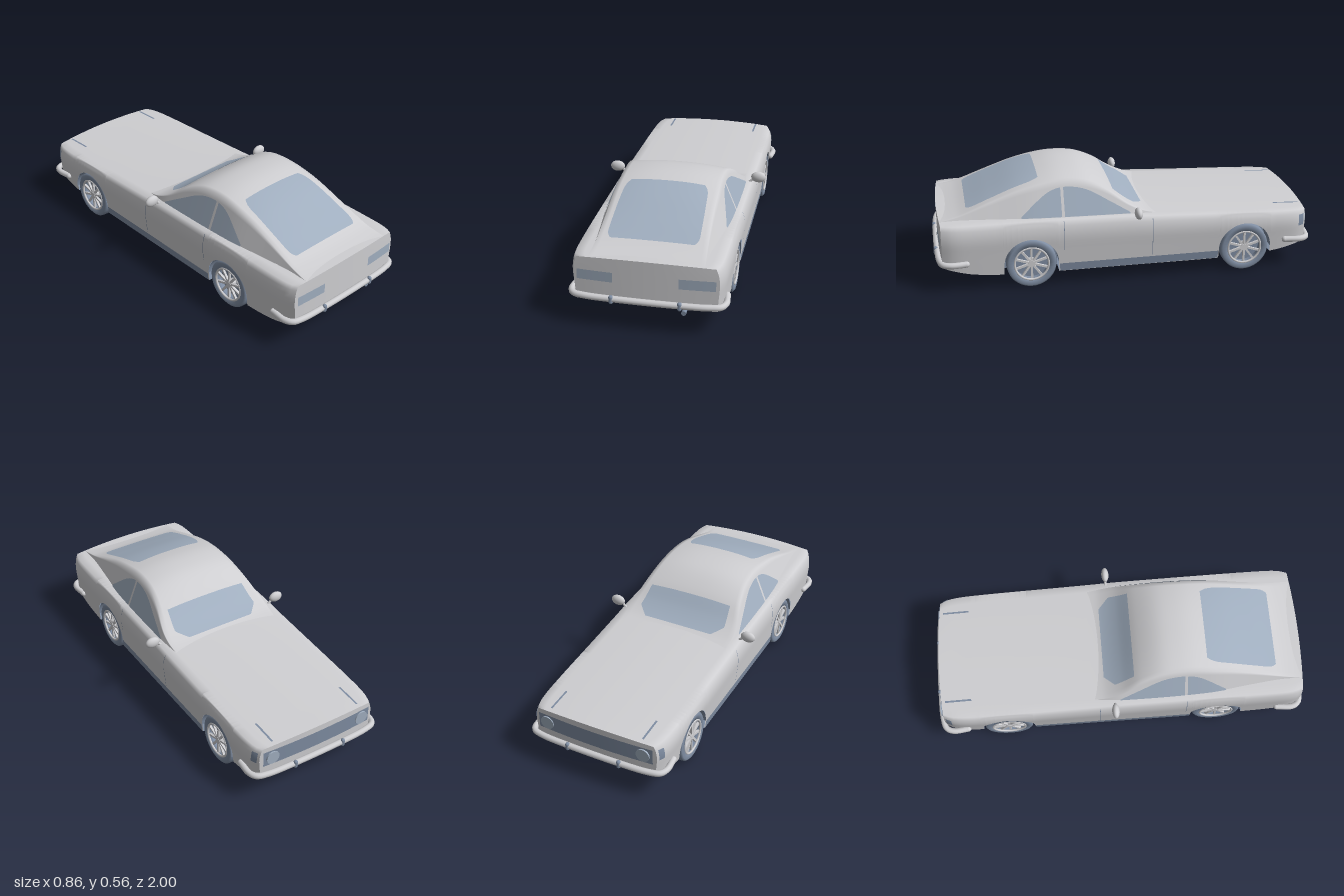
import * as THREE from 'three';

const mat = (name, color) => {
  const m = new THREE.MeshStandardMaterial({ color, side: THREE.DoubleSide });
  m.name = name;
  return m;
};

// Smooth curve through [position, value] pairs
function curve(pts) {
  const slope = pts.map((p, i) => {
    const a = pts[Math.max(i - 1, 0)], b = pts[Math.min(i + 1, pts.length - 1)];
    return (b[1] - a[1]) / (b[0] - a[0]);
  });
  return (q) => {
    const x = THREE.MathUtils.clamp(q, pts[0][0], pts[pts.length - 1][0]);
    let i = 0;
    while (i < pts.length - 2 && x > pts[i + 1][0]) i++;
    const h = pts[i + 1][0] - pts[i][0], t = (x - pts[i][0]) / h, t2 = t * t, t3 = t2 * t;
    return (2 * t3 - 3 * t2 + 1) * pts[i][1] + (t3 - 2 * t2 + t) * h * slope[i]
      + (3 * t2 - 2 * t3) * pts[i + 1][1] + (t3 - t2) * h * slope[i + 1];
  };
}

// Surface from a rule: fn(u, v) gives [x, y, z]
function patch(fn, nu, nv) {
  const g = new THREE.PlaneGeometry(1, 1, nu, nv), p = g.attributes.position;
  for (let i = 0; i < p.count; i++) p.setXYZ(i, ...fn(p.getX(i) + 0.5, p.getY(i) + 0.5));
  g.computeVertexNormals();
  return g;
}

const lerp = THREE.MathUtils.lerp;
const REAR = 0.96, NOSE = -0.955, ARCH = 0.14, AXLE = 0.13, WHEELS = [0.51, -0.62];

// Body rules along z
const plan = curve([[NOSE, 0.335], [-0.91, 0.355], [-0.8, 0.366], [-0.4, 0.37], [0.5, 0.373], [0.85, 0.372], [0.92, 0.365], [REAR, 0.35]]);
const belt = curve([[NOSE, 0.312], [-0.5, 0.33], [-0.13, 0.346], [0, 0.354], [0.5, 0.361], [REAR, 0.36]]);
const floorY = curve([[NOSE, 0.135], [-0.8, 0.1], [-0.6, 0.08], [0, 0.078], [0.6, 0.08], [0.8, 0.095], [REAR, 0.135]]);
const bulge = curve([[0, 0.955], [0.45, 0.985], [0.7, 1], [0.88, 0.985], [1, 0.95]]);
const sideX = (y, z) => plan(z) * bulge((y - 0.08) / (belt(z) - 0.08));
const archY = (z) => {
  let y = floorY(z);
  for (const c of WHEELS) {
    const d = ARCH * ARCH - (z - c) ** 2;
    if (d >= -1e-9) y = Math.max(y, AXLE + Math.sqrt(Math.max(d, 0)));
  }
  return y;
};
const bow = (s, z) => z + Math.sign(z) * 0.014 * (1 - s * s) * THREE.MathUtils.smoothstep(Math.abs(z), 0.85, 0.955);
const deckY = (s, z) => belt(z) + 0.01 * (1 - s * s);

// Cabin rules along z
const roofY = curve([[-0.15, 0.346], [-0.08, 0.367], [0, 0.412], [0.1, 0.492], [0.2, 0.543], [0.3, 0.559], [0.4, 0.553], [0.55, 0.515], [0.7, 0.455], [0.85, 0.39], [0.92, 0.371], [REAR, 0.364]]);
const baseX = curve([[-0.15, 0.31], [0, 0.325], [0.45, 0.322], [0.7, 0.295], [0.85, 0.28], [REAR, 0.28]]);
const rise = (z) => Math.max(roofY(z) - belt(z), 0.002);
const edgeY = (z) => belt(z) + rise(z) * 0.88;
const edgeX = (z) => baseX(z) - 0.36 * rise(z);
const cabinTop = (x, z) => lerp(belt(z) + rise(z), edgeY(z), Math.pow(Math.abs(x) / edgeX(z), 2.3));
const cabinSide = (y, z) => lerp(baseX(z), edgeX(z), (y - belt(z)) / (edgeY(z) - belt(z)));

export function createModel() {
  const paint = mat('body paint', 0xcfcfd2), glass = mat('glass', 0xa1afc0);
  const trim = mat('dark trim', 0x7f8da2);
  const car = new THREE.Group();
  car.name = 'car';
  const add = (name, geo, m, parent = car) => {
    const mesh = new THREE.Mesh(geo, m);
    mesh.name = name;
    parent.add(mesh);
    return mesh;
  };

  // Stations, closer together around the wheel arches
  const zs = [];
  for (let i = 0; i <= 70; i++) zs.push(lerp(NOSE, REAR, i / 70));
  for (const c of WHEELS) {
    for (let i = 0; i <= 20; i++) zs.push(c + ARCH * Math.cos(i / 20 * Math.PI));
    zs.push(c - ARCH - 0.001, c + ARCH + 0.001);
  }
  zs.sort((a, b) => a - b);
  const at = (v) => zs[Math.round(v * (zs.length - 1))];

  // Body shell
  add('bodyShell', patch((u, v) => {
    const z = at(v), j = Math.round(u * 36), m = Math.min(j, 36 - j), sign = j < 18 ? -1 : 1;
    if (m <= 10) {
      const y = lerp(archY(z), belt(z), m / 10), x = sideX(y, z);
      return [sign * x, y, z];
    }
    const s = 1 - (m - 10) / 8;
    return [sign * s * sideX(belt(z), z), deckY(s, z), bow(s, z)];
  }, 36, zs.length - 1), paint);

  // Nose and tail panels
  for (const [name, z] of [['nosePanel', NOSE], ['tailPanel', REAR]]) {
    add(name, patch((u, v) => {
      const s = 2 * u - 1, y = lerp(floorY(z), belt(z), v);
      return [s * sideX(y, z), lerp(floorY(z), deckY(s, z), v), bow(s, z)];
    }, 20, 10), paint);
  }
  const endPlate = (name, z, x0, x1, y0, y1, m, off = 0.004) => add(name, patch((u, v) => {
    const x = lerp(x0, x1, u);
    return [x, lerp(y0, y1, v), bow(x / plan(z), z) + Math.sign(z) * off];
  }, 12, 1), m);
  endPlate('grille', NOSE, -0.315, 0.315, 0.205, 0.292, trim);
  endPlate('plateRecess', REAR, -0.105, 0.105, 0.185, 0.235, paint);

  // Underbody and arch liners
  add('underbody', patch((u, v) => {
    const z = at(v), y = floorY(z);
    const w = archY(z) > y + 0.001 ? 0.27 : sideX(y, z);
    return [(2 * u - 1) * w, y, bow(2 * u - 1, z)];
  }, 10, zs.length - 1), trim);
  add('gearboxPan', new THREE.CylinderGeometry(0.075, 0.055, 0.03, 4, 1).rotateY(Math.PI / 4).scale(1, 1, 1.9), trim).position.set(0, 0.07, 0.3);

  // Cabin
  add('cabin', patch((u, v) => {
    const z = lerp(-0.15, REAR, v), j = Math.round(u * 36), m = Math.min(j, 36 - j), sign = j < 18 ? -1 : 1;
    if (m <= 6) {
      const y = lerp(belt(z) - 0.004, edgeY(z), m / 6);
      return [sign * cabinSide(y, z), y, z];
    }
    const x = edgeX(z) * (1 - (m - 6) / 12);
    return [sign * x, cabinTop(x, z), z];
  }, 36, 80), paint);

  // Front and rear screens
  const screen = (name, z0, z1, width) => add(name, patch((u, v) => {
    const z = lerp(z0, z1, v), x = (2 * u - 1) * width(v);
    return [x, cabinTop(x, z) + 0.005, z];
  }, 20, 24), glass);
  screen('windscreen', -0.09, 0.068, (v) => v < 0.35 ? lerp(0.195, 0.25, v / 0.35) : lerp(0.25, 0.235, (v - 0.35) / 0.65));
  const rounding = curve([[0, 0.9], [0.08, 0.97], [0.2, 1], [0.85, 1], [0.94, 0.98], [1, 0.91]]);
  screen('rearWindow', 0.45, 0.825, (v) => rounding(v) * lerp(0.208, 0.225, v));

  // Bonnet panel, slightly proud
  add('bonnet', patch((u, v) => {
    const z = lerp(-0.945, -0.155, v), x = (2 * u - 1) * 0.28, s = x / sideX(belt(z), z);
    return [x, deckY(s, z) + 0.004, bow(s, z)];
  }, 14, 30), paint);

  const windowTop = curve([[-0.01, 0.364], [0.1, 0.428], [0.2, 0.483], [0.28, 0.504], [0.36, 0.502], [0.43, 0.472], [0.56, 0.366]]);
  for (const side of [1, -1]) {
    const tag = side > 0 ? 'left' : 'right';

    // Side windows
    for (const [name, z0, z1] of [['DoorWindow', -0.01, 0.33], ['QuarterWindow', 0.345, 0.55]]) {
      add(tag + name, patch((u, v) => {
        const z = lerp(z0, z1, u), top = Math.min(windowTop(z), edgeY(z) - 0.008);
        const y = lerp(belt(z) + 0.004, Math.max(top, belt(z) + 0.005), v);
        return [side * (cabinSide(y, z) + 0.004), y, z];
      }, 20, 6), glass);
    }

    // Thin plates lying on the body side
    const sidePlate = (name, z0, z1, y0, y1, m) => add(tag + name, patch((u, v) => {
      const z = lerp(z0, z1, u), y = lerp(y0, y1, v);
      return [side * (sideX(y, z) + 0.003), y, z];
    }, 16, 8), m);
    sidePlate('Sill', -0.475, 0.365, 0.08, 0.122, trim);
    sidePlate('LampWrap', -0.945, -0.915, 0.23, 0.29, trim);
    sidePlate('DoorFrontSeam', -0.122, -0.119, 0.13, 0.335, trim);
    sidePlate('DoorRearSeam', 0.339, 0.342, 0.2, 0.352, trim);

    // Groove beside the bonnet tip
    add(tag + 'BonnetGroove', patch((u, v) => {
      const z = lerp(-0.94, -0.8, v), x = side * lerp(0.248, 0.258, u);
      return [x, deckY(x / plan(z), z) + 0.006, z];
    }, 1, 8), trim);

    // Lamps
    endPlate(tag + 'TailLamp', REAR, side * 0.158, side * 0.333, 0.245, 0.297, glass);
    const lamp = add(tag + 'Headlamp', new THREE.CylinderGeometry(0.036, 0.036, 0.008, 24), glass);
    lamp.rotation.x = Math.PI / 2;
    lamp.position.set(side * 0.265, 0.248, -0.967);

    // Door mirror
    const mirror = new THREE.Group();
    mirror.name = tag + 'Mirror';
    mirror.position.set(side * 0.39, 0.38, -0.04);
    add('mirrorShell', new THREE.SphereGeometry(1, 20, 14).scale(0.04, 0.03, 0.02), paint, mirror);
    const stalk = add('mirrorStalk', new THREE.CylinderGeometry(0.006, 0.008, 0.05, 8), paint, mirror);
    stalk.position.set(-side * 0.038, -0.022, 0);
    stalk.rotation.z = -side * 0.8;
    car.add(mirror);

    // Wheels in their arches
    for (const z of WHEELS) {
      const wheel = new THREE.Group();
      wheel.name = tag + (z > 0 ? 'RearWheel' : 'FrontWheel');
      wheel.position.set(side * 0.318, AXLE, z);
      wheel.rotation.z = -side * Math.PI / 2;
      const profile = [[0.088, -0.038], [0.118, -0.042], [0.128, -0.034], [0.13, 0], [0.128, 0.034], [0.118, 0.042], [0.092, 0.04], [0.088, 0.02], [0.088, -0.038]];
      add('tyre', new THREE.LatheGeometry(profile.map((p) => new THREE.Vector2(...p)), 40), trim, wheel);
      add('wheelBack', new THREE.CylinderGeometry(0.09, 0.09, 0.03, 32), trim, wheel).position.y = -0.015;
      add('rimRing', new THREE.TorusGeometry(0.088, 0.006, 8, 40).rotateX(Math.PI / 2), paint, wheel).position.y = 0.038;
      add('hub', new THREE.CylinderGeometry(0.016, 0.022, 0.04, 16), paint, wheel).position.y = 0.018;
      for (let i = 0; i < 10; i++) {
        add('spoke', new THREE.BoxGeometry(0.074, 0.012, 0.011).translate(0.05, 0.03, 0), paint, wheel).rotation.y = i * Math.PI / 5;
      }
      car.add(wheel);

      const arc = (r, x) => (u) => [side * x, AXLE + r * Math.sin(u * Math.PI), z + r * Math.cos(u * Math.PI)];
      add(tag + 'ArchLiner', patch((u, v) => arc(ARCH, lerp(0.27, 0.362, v))(u), 24, 1), trim);
      add(tag + 'ArchWall', patch((u, v) => v > 0.5 ? arc(ARCH, 0.27)(u) : [side * 0.27, 0.078, z + ARCH * Math.cos(u * Math.PI)], 24, 1), trim);
    }
  }

  // Wrap-round bumpers with overriders
  for (const [name, f, w, ox] of [['rear', 1, 0.374, 0.165], ['front', -1, 0.368, 0.143]]) {
    const half = [[w - 0.006, 0.84], [w, 0.92], [w - 0.018, 0.957], [w - 0.07, 0.973], [0.15, 0.982]];
    const pts = [...half, ...half.map(([x, z]) => [-x, z]).reverse()].map(([x, z]) => new THREE.Vector3(x, 0.16, f * z));
    const path = new THREE.CatmullRomCurve3(pts);
    add(name + 'Bumper', new THREE.TubeGeometry(path, 80, 0.016, 10), paint);
    for (const x of [pts[0], pts[pts.length - 1]]) add(name + 'BumperEnd', new THREE.SphereGeometry(0.016, 12, 8), paint).position.copy(x);
    for (const s of [1, -1]) {
      add(name + 'Overrider', new THREE.CapsuleGeometry(0.011, 0.024, 6, 12), trim).position.set(s * ox, 0.16, f * 0.989);
    }
  }

  // Exhaust pipe
  const pipe = add('exhaust', new THREE.CylinderGeometry(0.012, 0.012, 0.2, 16), trim);
  pipe.rotation.x = Math.PI / 2;
  pipe.position.set(0.18, 0.11, 0.865);
  return car;
}
